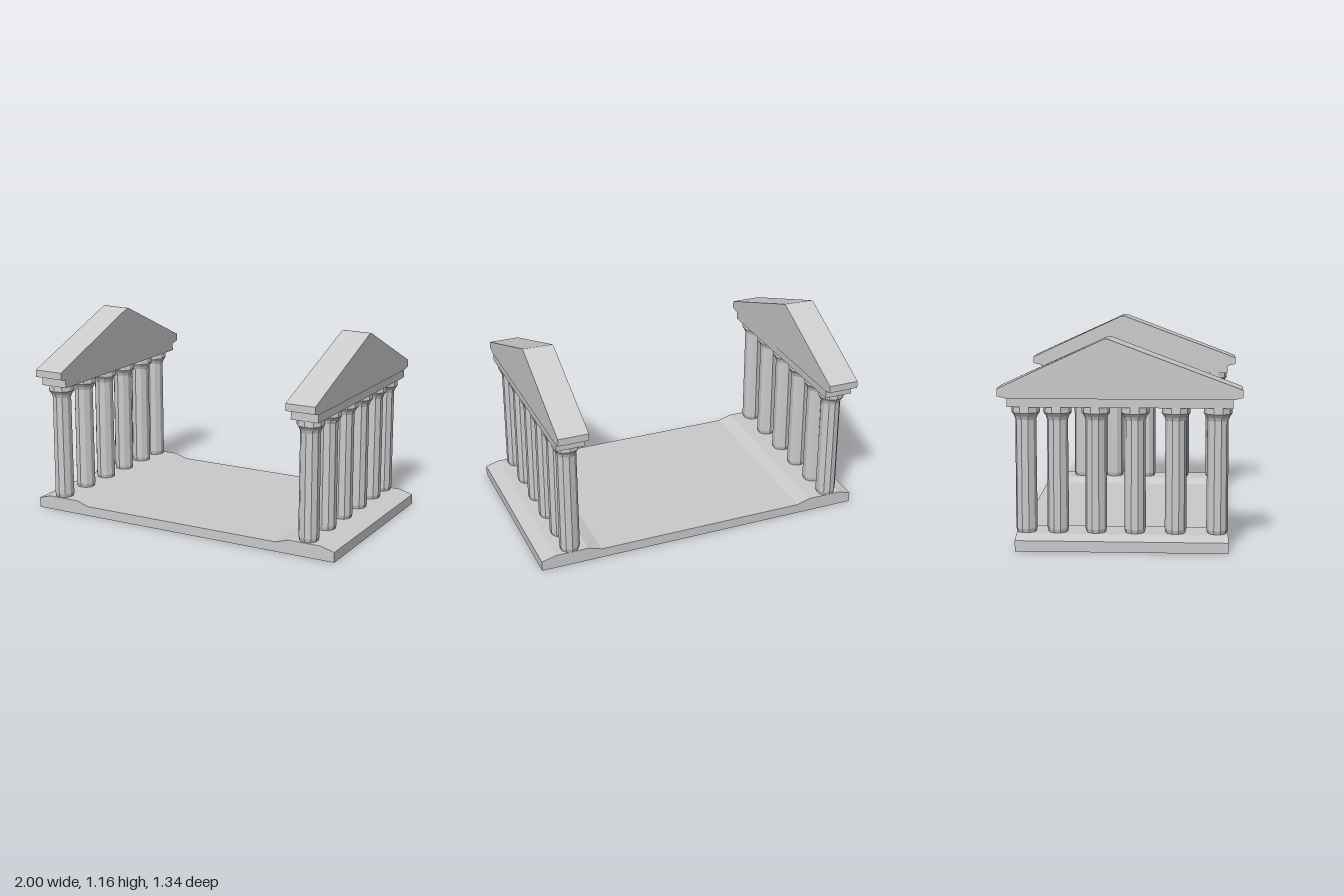
import * as THREE from 'three';

const stone = new THREE.MeshStandardMaterial({ color: 0xcccccc, flatShading: true });

function mesh(name, geometry) {
  const m = new THREE.Mesh(geometry, stone);
  m.name = name;
  return m;
}

function extrude(points, depth) {
  const shape = new THREE.Shape(points.map(([x, y]) => new THREE.Vector2(x, y)));
  return new THREE.ExtrudeGeometry(shape, { depth, bevelEnabled: false });
}

// Outline given as [z, y], extruded along x between x0 and x1
function extrudeAcross(points, x0, x1) {
  return extrude(points, x1 - x0).rotateY(-Math.PI / 2).translate(x1, 0, 0);
}

// Ten-sided shaft with a tapered foot and a flared capital
const columnProfile = [
  [0, 0.08], [0.053, 0.08], [0.06, 0.105], [0.058, 0.715], [0.065, 0.735],
  [0.079, 0.755], [0.077, 0.792], [0, 0.792],
].map(([r, y]) => new THREE.Vector2(r, y));
const columnGeometry = new THREE.LatheGeometry(columnProfile, 10);
const columnZ = [0.536, 0.306, 0.081, -0.135, -0.347, -0.523];

function colonnade(name, columnX, x0, x1) {
  const group = new THREE.Group();
  group.name = name;

  columnZ.forEach((z) => {
    const column = mesh('column', columnGeometry);
    column.position.set(columnX, 0, z);
    group.add(column);
  });

  // Beam resting on the capitals
  group.add(mesh('architrave', extrudeAcross(
    [[-0.618, 0.79], [0.618, 0.79], [0.618, 0.84], [-0.618, 0.84]], x0 + 0.008, x1 - 0.004)));

  // Gable with a chamfered underside and a narrow, slightly skewed ridge
  const gable = extrudeAcross([
    [-0.618, 0.838], [0.618, 0.838], [0.67, 0.85], [0.67, 0.892],
    [-0.059, 1.165], [-0.08, 1.165], [-0.67, 0.892], [-0.67, 0.85],
  ], x0, x1);
  const p = gable.attributes.position;
  const middle = (x0 + x1) / 2;
  for (let i = 0; i < p.count; i++) {
    if (p.getY(i) > 1) p.setZ(i, p.getZ(i) + (p.getX(i) > middle ? 0.005 : -0.005));
  }
  gable.computeVertexNormals();
  group.add(mesh('pediment', gable));
  return group;
}

export function createModel() {
  const model = new THREE.Group();
  model.name = 'templeColonnades';

  // Floor slab with a raised, sloped strip under each colonnade
  const slab = extrude([
    [-1, 0], [1, 0], [1, 0.06], [0.915, 0.083], [0.715, 0.083], [0.635, 0.058],
    [-0.64, 0.058], [-0.72, 0.083], [-0.92, 0.083], [-1, 0.06],
  ], 1.17).translate(0, 0, -0.573);
  model.add(mesh('floorSlab', slab));

  model.add(colonnade('rightColonnade', -0.853, -0.941, -0.759));
  model.add(colonnade('leftColonnade', 0.815, 0.725, 0.904));
  return model;
}
